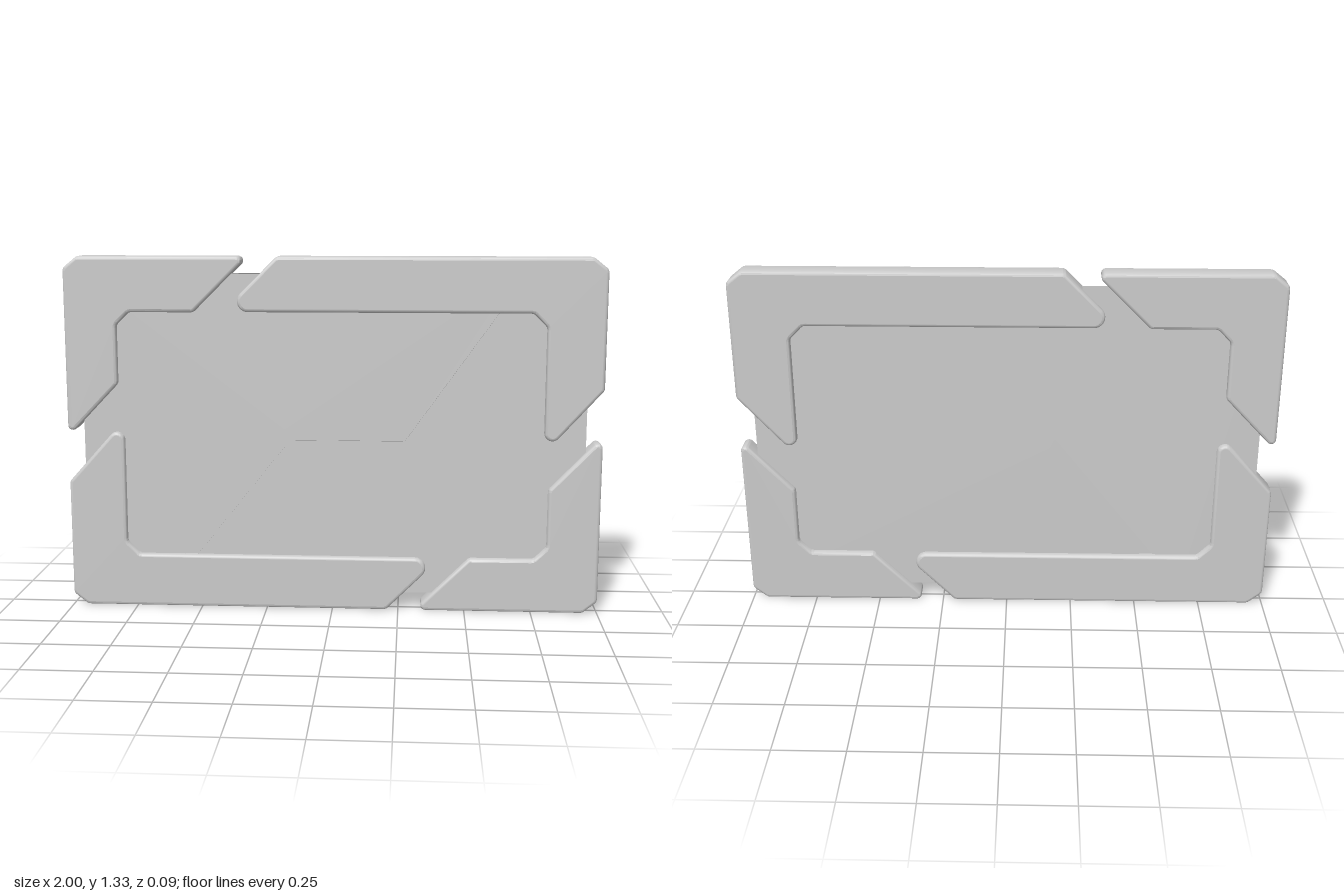
import * as THREE from 'three';
import { toCreasedNormals } from 'three/addons/utils/BufferGeometryUtils.js';

const HEIGHT = 1.334;

// Closed outline with filleted corners; each corner is [x, y, radius]
function roundedShape(corners, defaultRadius) {
  const shape = new THREE.Shape();
  const n = corners.length;
  corners.forEach(([x, y, r = defaultRadius], i) => {
    const p = new THREE.Vector2(x, y);
    const a = new THREE.Vector2(...corners[(i + n - 1) % n]).sub(p).normalize();
    const b = new THREE.Vector2(...corners[(i + 1) % n]).sub(p).normalize();
    const half = Math.acos(THREE.MathUtils.clamp(a.dot(b), -1, 1)) / 2;
    const reach = r / Math.tan(half);
    const c = a.clone().add(b).normalize().multiplyScalar(r / Math.sin(half)).add(p);
    const start = a.clone().multiplyScalar(reach).add(p).sub(c);
    const end = b.clone().multiplyScalar(reach).add(p).sub(c);
    shape.absarc(c.x, c.y, r, start.angle(), end.angle(), a.cross(b) > 0);
  });
  return shape;
}

// Slab centred on z = 0 with softly rounded edges and truly flat faces
function slab(shape, thickness, bevel) {
  const depth = thickness - 2 * bevel;
  let geo = new THREE.ExtrudeGeometry(shape, {
    depth, curveSegments: 5, bevelEnabled: bevel > 0, bevelThickness: bevel,
    bevelSize: bevel, bevelOffset: -bevel, bevelSegments: 3,
  });
  geo.translate(0, 0, -depth / 2);
  geo = toCreasedNormals(geo, 0.65);
  const { position, normal } = geo.attributes;
  for (let i = 0; i < position.count; i += 3) {
    const z = [0, 1, 2].map((k) => position.getZ(i + k));
    if (z.every((v) => Math.abs(Math.abs(v) - thickness / 2) < 1e-5)) {
      for (let k = 0; k < 3; k++) normal.setXYZ(i + k, 0, 0, Math.sign(z[0]));
    }
  }
  return geo;
}

export function createModel() {
  const group = new THREE.Group();
  const material = new THREE.MeshStandardMaterial({ color: 0xcccccc });
  const add = (name, geometry) => {
    const mesh = new THREE.Mesh(geometry, material);
    mesh.name = name;
    group.add(mesh);
    return mesh;
  };

  // Short and long corner brackets, outlines listed for the upper pair
  const shortBracket = slab(roundedShape([
    [-1, 1.29], [-0.945, HEIGHT], [-0.31, HEIGHT, 0.018], [-0.516, 1.128],
    [-0.757, 1.128], [-0.805, 1.08], [-0.805, 0.86], [-1, 0.655, 0.018],
  ], 0.025), 0.086, 0.012);
  const longBracket = slab(roundedShape([
    [-0.205, HEIGHT], [0.945, HEIGHT], [1, 1.29], [1, 0.85], [0.785, 0.61, 0.03],
    [0.785, 1.08], [0.735, 1.13], [-0.409, 1.13, 0.04],
  ], 0.025), 0.086, 0.012);

  // The lower pair is the upper pair turned half a revolution
  const turned = (mesh) => {
    mesh.rotation.z = Math.PI;
    mesh.position.y = HEIGHT;
  };
  add('upperRightShortBracket', shortBracket);
  add('upperLeftLongBracket', longBracket);
  turned(add('lowerLeftShortBracket', shortBracket));
  turned(add('lowerRightLongBracket', longBracket));

  // Inner panel: two plates separated by a shallow stepped groove
  const polygon = (points) => new THREE.Shape(points.map(([x, y]) => new THREE.Vector2(x, y)));
  const [w, bottom, top] = [0.94, 0.065, 1.27];
  const upperLine = [[-0.675, bottom], [-0.18, 0.69], [0.235, 0.69], [0.665, top]];
  const lowerLine = [[-0.625, bottom], [-0.16, 0.65], [0.27, 0.65], [0.71, top]];
  add('upperPlate', slab(polygon([[-w, bottom], ...upperLine, [-w, top]]), 0.044, 0));
  add('lowerPlate', slab(polygon([[w, bottom], [w, top], ...[...lowerLine].reverse()]), 0.044, 0));
  add('grooveFloor', slab(polygon([...upperLine, ...[...lowerLine].reverse()]), 0.034, 0));

  return group;
}
